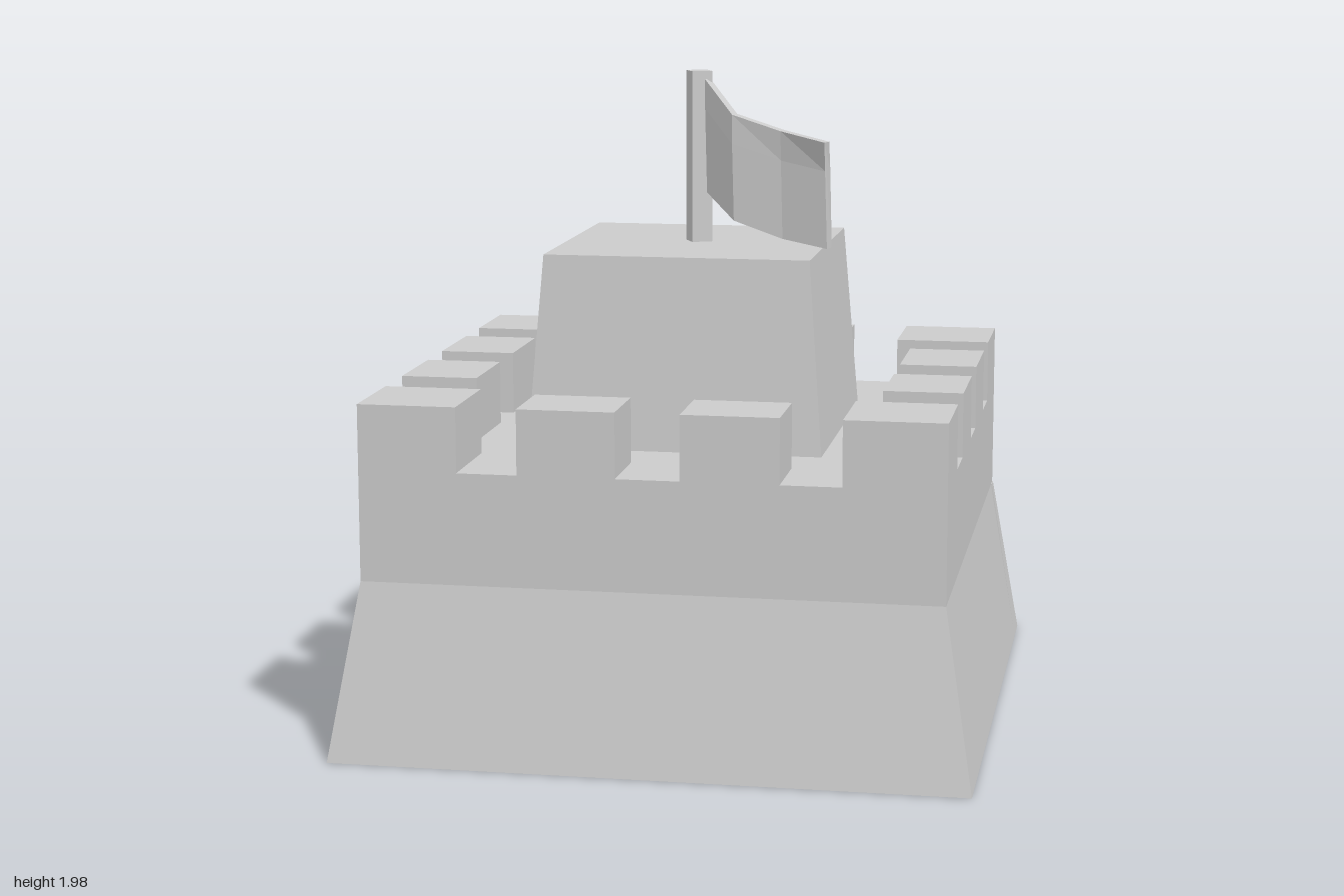
import * as THREE from 'three';

const grey = new THREE.MeshStandardMaterial({ color: 0xcccccc, flatShading: true, side: THREE.DoubleSide });

// Skin equal-length rings of [x, y, z] points and cap both ends.
function loft(rings) {
  const n = rings[0].length, idx = [];
  for (let r = 0; r < rings.length - 1; r++) {
    for (let i = 0; i < n; i++) {
      const a = r * n + i, b = r * n + (i + 1) % n;
      idx.push(a, b, b + n, a, b + n, a + n);
    }
  }
  const last = (rings.length - 1) * n;
  for (let i = 1; i < n - 1; i++) idx.push(0, i + 1, i, last, last + i, last + i + 1);
  const g = new THREE.BufferGeometry();
  g.setAttribute('position', new THREE.Float32BufferAttribute(rings.flat(2), 3));
  g.setIndex(idx);
  const flat = g.toNonIndexed();
  flat.computeVertexNormals();
  return flat;
}

// Horizontal rectangular ring.
const rect = (y, x0, x1, z0, z1) => [[x0, y, z1], [x1, y, z1], [x1, y, z0], [x0, y, z0]];

export function createModel() {
  const model = new THREE.Group();
  const add = (name, geometry, parent = model) => {
    const mesh = new THREE.Mesh(geometry, grey);
    mesh.name = name;
    parent.add(mesh);
    return mesh;
  };
  const block = (name, x0, x1, y0, y1, z0, z1, parent) =>
    add(name, loft([rect(y0, x0, x1, z0, z1), rect(y1, x0, x1, z0, z1)]), parent);

  // Main walls: flared foot with a flat back, upright band above
  const L = -0.865, R = 0.86, B = -0.83, F = 0.90, floor = 0.865, top = 1.06;
  add('flaredBase', loft([rect(0, -0.95, 0.95, -0.78, 1), rect(0.53, L, R, -0.78, F)]));
  block('upperWall', L, R, 0.53, floor, B, F);

  // Back wall on each side of the doorway: panel, corner fin and ramp
  for (const s of [-1, 1]) {
    const span = (y, a, b, z0) => rect(y, Math.min(s * a, s * b), Math.max(s * a, s * b), z0, -0.78);
    add('backPanel', loft([span(0, 0.205, 0.94, -0.88), span(0.53, 0.205, 0.855, B)]));
    add('cornerFin', loft([span(0, 0.935, 0.95, -0.92), span(0.53, 0.85, 0.8625, B)]));
    const ring = (x, h) => [[s * x, h, -0.86], [s * x, 0, -0.86], [s * x, 0, -0.92], [s * x, h, -0.905]];
    const ramp = [ring(0.3, 0.11), ring(0.945, 0.004)];
    add('ramp', loft(s > 0 ? ramp : ramp.reverse()));
  }

  // Door step
  block('doorStep', -0.39, 0.36, 0, 0.12, -1, -0.86);
  block('doorSill', -0.205, 0.205, 0, 0.12, -0.87, -0.77);

  // Battlements
  const merlons = new THREE.Group();
  merlons.name = 'battlements';
  model.add(merlons);
  const columns = [[L, -0.57], [-0.39, -0.10], [0.09, 0.38], [0.56, R]];
  columns.forEach(([x0, x1], i) => {
    const corner = i === 0 || i === 3;
    block('frontMerlon', x0, x1, floor, top, corner ? 0.60 : 0.66, F, merlons);
    // Back merlons have a shallow recess in their outer face
    block('backMerlon', x0, x1, floor, top, B + 0.07, corner ? -0.53 : -0.60, merlons);
    block('backMerlonTop', x0, x1, top - 0.008, top, B, B + 0.07, merlons);
    block('backMerlonSide', x0, x0 + 0.008, floor, top - 0.008, B, B + 0.07, merlons);
    block('backMerlonSide', x1 - 0.008, x1, floor, top - 0.008, B, B + 0.07, merlons);
  });
  for (const [z0, z1] of [[-0.36, -0.05], [0.12, 0.42]]) {
    block('rightMerlon', L, -0.63, floor, top, z0, z1, merlons);
    block('leftMerlon', 0.62, R, floor, top, z0, z1, merlons);
  }

  // Central keep
  add('keep', loft([rect(floor, -0.455, 0.445, -0.41, 0.49), rect(1.45, -0.41, 0.40, -0.365, 0.445)]));

  // Flag pole
  const pole = add('flagPole', new THREE.BoxGeometry(0.065, 0.53, 0.065));
  pole.position.set(-0.005, 1.715, 0.035);
  pole.rotation.y = 0.47;

  // Waving flag: x, z, top y, bottom y and outward lean of the top edge
  const stations = [
    [0.025, 0.05, 1.955, 1.605, 0],
    [0.125, 0.145, 1.855, 1.53, 0],
    [0.28, 0.17, 1.81, 1.48, 0.01],
    [0.425, 0.23, 1.785, 1.46, 0.03],
  ];
  add('flag', loft(stations.map(([x, z, t, b, lean]) => {
    const m = t - 0.09, h = 0.018;
    return [
      [x - 0.006, t, z + h + lean], [x - 0.006, m, z + h], [x, b, z + h],
      [x + 0.01, b, z - h], [x + 0.004, m, z - h], [x + 0.004, t, z - h + lean],
    ];
  })));

  return model;
}
